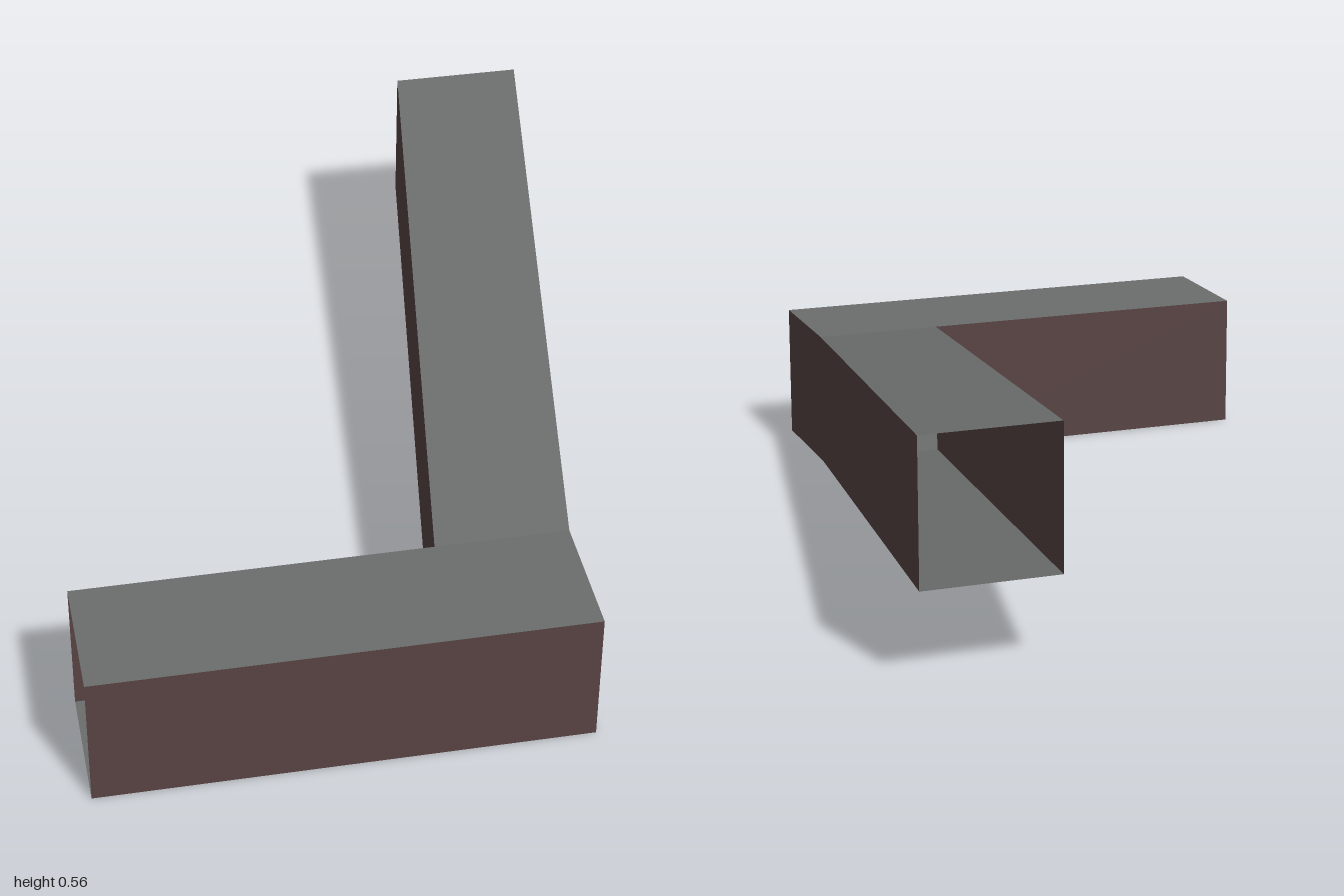
import * as THREE from 'three';

// Plan stations: each entry pairs an outer and inner [x, z] point with its floor height
const HEIGHT = 0.343;
const A = { outer: [-0.715, 1], inner: [-0.715, 0.68], y: 0 };
const OUTER_CORNER = [0.455, 1];
const JOINT = { outer: [0.455, 0.68], inner: [0.135, 0.68], y: 0 };
const END = { outer: [0.715, -1], inner: [0.39, -1], y: 0.213 };

// Flat four-cornered panel
function panel(name, corners, material) {
  const geometry = new THREE.BufferGeometry();
  geometry.setAttribute('position', new THREE.Float32BufferAttribute(corners.flat(), 3));
  geometry.setIndex([0, 1, 2, 0, 2, 3]);
  geometry.computeVertexNormals();
  const mesh = new THREE.Mesh(geometry, material);
  mesh.name = name;
  return mesh;
}

const at = ([x, z], y) => [x, y, z];

// Upright panel between two plan points, with outward side on the right of travel
function wall(name, p, yp, q, yq, material) {
  return panel(name, [at(p, yp), at(q, yq), at(q, yq + HEIGHT), at(p, yp + HEIGHT)], material);
}

export function createModel() {
  const wallBrown = new THREE.MeshStandardMaterial({ color: 0x584443, side: THREE.DoubleSide });
  const slabGrey = new THREE.MeshStandardMaterial({ color: 0x6b6e6c, side: THREE.DoubleSide });
  wallBrown.name = 'wallBrown';
  slabGrey.name = 'slabGrey';

  const model = new THREE.Group();
  model.name = 'corridor';

  // Walls; both passage ends stay open
  model.add(
    wall('frontWall', A.outer, 0, OUTER_CORNER, 0, wallBrown),
    wall('cornerWall', OUTER_CORNER, 0, JOINT.outer, 0, wallBrown),
    wall('rampOuterWall', JOINT.outer, JOINT.y, END.outer, END.y, wallBrown),
    wall('rampInnerWall', END.inner, END.y, JOINT.inner, JOINT.y, wallBrown),
    wall('backWall', JOINT.inner, 0, A.inner, 0, wallBrown),
  );

  // Floors and ceilings of the level passage and the ramp
  const level = [A.outer, OUTER_CORNER, JOINT.outer, A.inner].map((p) => at(p, 0));
  const ramp = [
    at(JOINT.inner, JOINT.y), at(JOINT.outer, JOINT.y),
    at(END.outer, END.y), at(END.inner, END.y),
  ];
  for (const [part, base] of [['level', level], ['ramp', ramp]]) {
    const raised = base.map(([x, y, z]) => [x, y + HEIGHT, z]);
    model.add(panel(part + 'Ceiling', raised, slabGrey));
    model.add(panel(part + 'Floor', [...base].reverse(), slabGrey));
  }
  return model;
}
